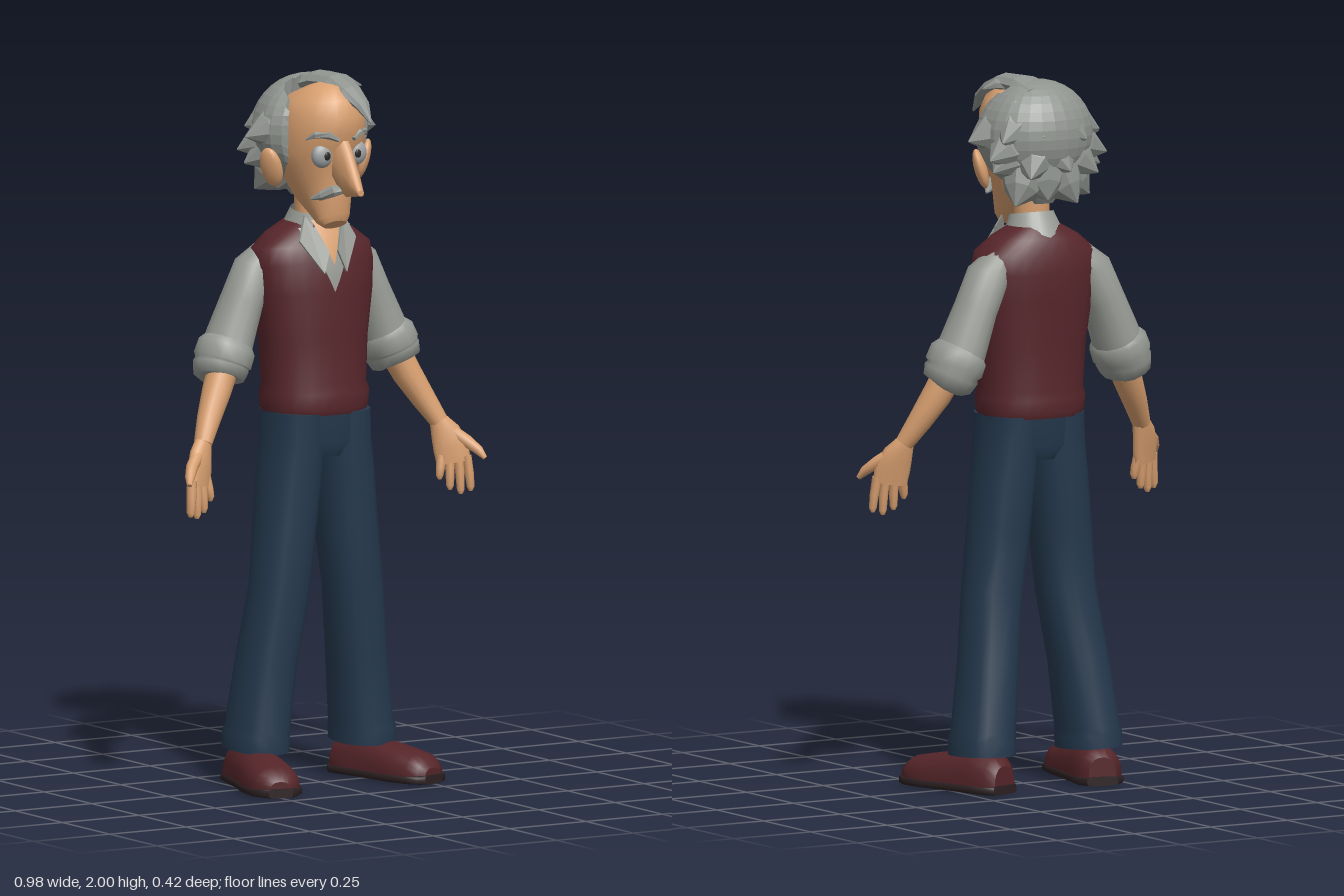
import * as THREE from 'three';

const mat = (name, color, extra = {}) => Object.assign(new THREE.MeshStandardMaterial({ color, ...extra }), { name });
const V = (a) => new THREE.Vector3(...a);

// Skin through elliptical sections [x, y, z, widthRadius, depthRadius] along a path.
function loft(sections, { n = 14, ref = [0, 0, 1], power = 2 } = {}) {
  const pos = [], idx = [], last = sections.length - 1;
  const at = (i) => V(sections[Math.min(last, Math.max(0, i))].slice(0, 3));
  const ring = (i) => {
    const [x, y, z, ru, rw] = sections[i];
    const t = at(i + 1).sub(at(i - 1)).normalize();
    const u = new THREE.Vector3().crossVectors(t, V(ref)).normalize();
    const w = new THREE.Vector3().crossVectors(u, t);
    const start = pos.length / 3;
    for (let j = 0; j < n; j++) {
      const a = (j / n) * Math.PI * 2;
      const sq = (c) => Math.sign(c) * Math.abs(c) ** (2 / power);
      pos.push(...new THREE.Vector3(x, y, z).addScaledVector(u, ru * sq(Math.cos(a))).addScaledVector(w, rw * sq(Math.sin(a))));
    }
    return start;
  };
  const rings = sections.map((_, i) => ring(i));
  for (let i = 0; i < last; i++) for (let j = 0; j < n; j++) {
    const k = (j + 1) % n, a = rings[i], b = rings[i + 1];
    idx.push(a + j, b + j, a + k, a + k, b + j, b + k);
  }
  for (const end of [0, last]) {
    const r = ring(end);
    for (let j = 1; j < n - 1; j++) idx.push(r, ...(end ? [r + j + 1, r + j] : [r + j, r + j + 1]));
  }
  const g = new THREE.BufferGeometry();
  g.setAttribute('position', new THREE.Float32BufferAttribute(pos, 3));
  g.setIndex(idx);
  g.computeVertexNormals();
  return g;
}

// Move every vertex by a rule.
function bend(g, rule) {
  const p = g.attributes.position, v = new THREE.Vector3();
  for (let i = 0; i < p.count; i++) {
    rule(v.fromBufferAttribute(p, i));
    p.setXYZ(i, v.x, v.y, v.z);
  }
  g.computeVertexNormals();
  return g;
}

// Pointed lock of hair from base to tip, sagging so the tip flicks up.
const lock = (base, tip, r, sag = 0) => {
  const mid = V(base).lerp(V(tip), 0.5);
  mid.y -= sag;
  return loft([[...base, r, r], [...mid, r * 0.66, r * 0.66], [...tip, 0.002, 0.002]], { n: 8, ref: [0, 1, 0] });
};

// Depth of the chest front, used by the neckline pieces.
const chestZ = (x, y) => 0.074 - 1.5 * (y - 1.4) ** 2 - 2.5 * x * x;

export function createModel() {
  const skin = mat('skin', 0xd9a070), hair = mat('greyHair', 0x90948f, { flatShading: true });
  const shirt = mat('shirtGrey', 0x999c96, { side: THREE.DoubleSide });
  const vest = mat('vestMaroon', 0x57262b), trousers = mat('trouserBlue', 0x25394e);
  const leather = mat('shoeLeather', 0x552529), sole = mat('shoeSole', 0x2c2022);
  const white = mat('eyeWhite', 0xa0a4a5), dark = mat('pupil', 0x2a2624);

  const root = new THREE.Group();
  root.name = 'oldMan';
  const add = (parent, name, geo, m) => {
    const mesh = new THREE.Mesh(geo, m);
    mesh.name = name;
    parent.add(mesh);
    return mesh;
  };
  const ball = (parent, name, m, p, s, seg = 16) => {
    const mesh = add(parent, name, new THREE.SphereGeometry(1, seg, 12), m);
    mesh.position.set(...p);
    mesh.scale.set(...s);
    return mesh;
  };

  // Torso
  add(root, 'vest', loft([
    [0, 1.045, -0.036, 0.148, 0.12], [0, 1.06, -0.036, 0.153, 0.126], [0, 1.1, -0.036, 0.157, 0.127],
    [0, 1.125, -0.038, 0.15, 0.119], [0, 1.25, -0.042, 0.158, 0.117], [0, 1.38, -0.046, 0.177, 0.12],
    [0, 1.46, -0.053, 0.186, 0.116], [0, 1.51, -0.058, 0.18, 0.105], [0, 1.55, -0.06, 0.13, 0.088],
    [0, 1.58, -0.06, 0.075, 0.062],
  ], { n: 28, power: 2.3 }), vest);
  add(root, 'hips', loft([
    [0, 0.925, -0.03, 0.08, 0.09], [0, 0.965, -0.03, 0.15, 0.108], [0, 1.07, -0.032, 0.15, 0.116],
  ], { n: 24, power: 2.3 }), trousers);

  // Shirt front, throat and collar
  const vPatch = (y0, h, half, lift) => bend(new THREE.PlaneGeometry(2, 1, 6, 6), (v) => {
    const t = v.y + 0.5;
    v.set(v.x * half * t, y0 + h * t, 0);
    v.z = chestZ(v.x, v.y) + lift;
  });
  add(root, 'shirtFront', vPatch(1.39, 0.18, 0.085, 0.004), shirt);
  add(root, 'throat', vPatch(1.465, 0.125, 0.045, 0.007), skin);
  add(root, 'neck', loft([[0, 1.48, -0.03, 0.055, 0.05], [0, 1.58, -0.045, 0.05, 0.047], [0, 1.7, -0.045, 0.052, 0.05]]), skin);
  const collar = add(root, 'collarBand', new THREE.CylinderGeometry(0.062, 0.094, 0.085, 20, 2, true, 0.5, Math.PI * 2 - 1), shirt);
  collar.position.set(0, 1.57, -0.05);
  collar.rotation.x = 0.16;
  const wing = new THREE.Shape([[0.062, 1.602], [0.014, 1.505], [0.036, 1.445], [0.092, 1.535]].map((p) => new THREE.Vector2(...p)));

  // Paired parts, built on the model's left and mirrored
  for (const s of [1, -1]) {
    const side = new THREE.Group();
    side.name = s > 0 ? 'leftSide' : 'rightSide';
    side.scale.x = s;
    root.add(side);

    add(side, 'collarWing', bend(new THREE.ExtrudeGeometry(wing, { depth: 0.009, bevelEnabled: false }),
      (v) => { v.z += chestZ(v.x, v.y) + 0.005; }), shirt);

    // Leg
    add(side, 'trouserLeg', loft([
      [0.174, 0.1, -0.064, 0.083, 0.107], [0.173, 0.14, -0.062, 0.084, 0.108], [0.169, 0.16, -0.062, 0.08, 0.104],
      [0.147, 0.35, -0.051, 0.078, 0.094], [0.12, 0.55, -0.027, 0.08, 0.088], [0.101, 0.72, -0.03, 0.081, 0.096],
      [0.086, 0.87, -0.03, 0.081, 0.104], [0.076, 0.97, -0.03, 0.078, 0.109], [0.074, 1.05, -0.03, 0.076, 0.113],
    ], { n: 18, power: 2.3 }), trousers);

    // Shoe, toes turned outward
    const shoe = new THREE.Group();
    shoe.name = 'shoe';
    shoe.position.set(0.188, 0, -0.05);
    shoe.rotation.y = 0.25;
    side.add(shoe);
    const plan = [[-0.115, 0.04, 0.08], [-0.09, 0.064, 0.105], [-0.02, 0.066, 0.118], [0.06, 0.069, 0.108],
      [0.14, 0.077, 0.094], [0.205, 0.071, 0.082], [0.235, 0.053, 0.064], [0.248, 0.03, 0.045]];
    add(shoe, 'shoeUpper', bend(loft(plan.map(([z, r, h]) => [0, 0.02, z, r, h - 0.02]), { n: 18, ref: [0, 1, 0], power: 2.4 }),
      (v) => { v.y = Math.max(v.y, 0.02); }), leather);
    add(shoe, 'shoeSole', loft(plan.map(([z, r]) => [0, 0.013, z * 1.02, r + 0.005, 0.013]), { n: 20, ref: [0, 1, 0], power: 5 }), sole);

    // Sleeve with rolled cuff
    add(side, 'sleeve', loft([
      [0.13, 1.5, -0.08, 0.035, 0.045], [0.165, 1.45, -0.082, 0.06, 0.066], [0.207, 1.36, -0.084, 0.059, 0.071],
      [0.243, 1.27, -0.083, 0.066, 0.078], [0.266, 1.21, -0.08, 0.07, 0.084],
    ]), shirt);
    add(side, 'rolledCuff', loft([
      [0.251, 1.25, -0.08, 0.066, 0.08], [0.259, 1.235, -0.079, 0.08, 0.091], [0.274, 1.2, -0.077, 0.082, 0.091],
      [0.277, 1.192, -0.077, 0.073, 0.084], [0.281, 1.183, -0.075, 0.078, 0.087], [0.291, 1.155, -0.07, 0.07, 0.078],
      [0.293, 1.15, -0.068, 0.052, 0.058],
    ]), shirt);

    // Forearm and hand, palm facing forward and inward
    add(side, 'forearm', loft([
      [0.272, 1.2, -0.065, 0.044, 0.046], [0.312, 1.12, -0.047, 0.041, 0.043], [0.351, 1.05, -0.024, 0.034, 0.035],
      [0.387, 0.985, 0.002, 0.026, 0.026],
    ]), skin);
    const palmRef = [-0.42, 0.1, 0.9];
    add(side, 'palm', loft([
      [0.384, 0.99, 0, 0.026, 0.023], [0.4, 0.955, 0.012, 0.042, 0.024], [0.412, 0.915, 0.024, 0.051, 0.022],
      [0.417, 0.87, 0.03, 0.048, 0.017],
    ], { n: 12, ref: palmRef }), skin);
    [[-0.036, 0.825], [-0.012, 0.795], [0.013, 0.782], [0.036, 0.79]].forEach(([d, tip], i) => {
      const x = 0.417 + d * 0.9, z = 0.03 + d * 0.42, splay = d * 0.25;
      add(side, 'finger' + (i + 1), loft([
        [x, 0.89, z, 0.014, 0.015], [x + splay * 0.6, (0.89 + tip) / 2, z + 0.006, 0.013, 0.014],
        [x + splay, tip + 0.012, z + 0.008, 0.011, 0.012], [x + splay, tip, z + 0.008, 0.005, 0.006],
      ], { n: 8, ref: palmRef }), skin);
    });
    add(side, 'thumb', loft([
      [0.405, 0.965, 0.015, 0.02, 0.018], [0.45, 0.93, 0.047, 0.018, 0.017], [0.473, 0.905, 0.073, 0.014, 0.014],
      [0.484, 0.885, 0.088, 0.007, 0.007],
    ], { n: 8 }), skin);

    // Face details
    ball(side, 'eye', white, [0.055, 1.782, 0.097], [0.033, 0.035, 0.021]);
    ball(side, 'pupil', dark, [0.05, 1.782, 0.117], [0.01, 0.012, 0.004]);
    add(side, 'eyebrow', loft([
      [0.024, 1.828, 0.136, 0.006, 0.008], [0.05, 1.842, 0.126, 0.011, 0.01], [0.08, 1.842, 0.101, 0.01, 0.01],
      [0.098, 1.828, 0.08, 0.003, 0.004],
    ], { n: 6 }), hair);
    add(side, 'moustache', loft([
      [0, 1.684, 0.117, 0.011, 0.016], [0.03, 1.682, 0.114, 0.017, 0.018], [0.055, 1.668, 0.092, 0.014, 0.014],
      [0.076, 1.658, 0.07, 0.003, 0.004],
    ], { n: 8 }), hair);
    const ear = ball(side, 'ear', skin, [0.15, 1.742, -0.018], [0.018, 0.058, 0.034], 12);
    ear.rotation.set(-0.1, -0.5, -0.32);

    // Sweeping locks at the temple
    add(side, 'templeWing', lock([0.09, 1.86, -0.05], [0.212, 1.827, -0.055], 0.075, 0.005), hair);
    add(side, 'templeRearLock', lock([0.08, 1.83, -0.1], [0.19, 1.78, -0.135], 0.075, 0.01), hair);
  }

  // Head
  add(root, 'head', loft([
    [0, 1.58, 0.075, 0.036, 0.024], [0, 1.595, 0.065, 0.05, 0.042], [0, 1.635, 0.045, 0.062, 0.07],
    [0, 1.68, 0.015, 0.08, 0.1], [0, 1.74, -0.005, 0.112, 0.122], [0, 1.79, -0.008, 0.122, 0.127],
    [0, 1.84, -0.006, 0.122, 0.146], [0, 1.89, -0.006, 0.118, 0.147], [0, 1.925, -0.006, 0.1, 0.13],
    [0, 1.95, -0.01, 0.07, 0.093], [0, 1.965, -0.015, 0.03, 0.04],
  ], { n: 24 }), skin);
  // Wedge nose, sheared downward toward its tip
  add(root, 'nose', bend(loft([
    [0, 0, 0.09, 0.034, 0.085], [0, 0, 0.145, 0.023, 0.076], [0, 0, 0.185, 0.018, 0.036], [0, 0, 0.214, 0.01, 0.009],
  ], { n: 10, ref: [0, 1, 0] }), (v) => { v.y += 1.775 - 0.78 * (v.z - 0.1); }), skin);

  // Hair shell: full at the sides, cut off at the temples, sunk beneath the bald forehead
  add(root, 'hairShell', bend(new THREE.SphereGeometry(1, 26, 18), (v) => {
    const full = 1 + 0.2 * Math.max(v.z, 0);
    v.set(v.x * 0.166 * full, 1.835 + v.y * 0.155, Math.min(-0.072 + v.z * 0.137, 0.022));
    if (v.z > -0.045 && Math.abs(v.x) < 0.1 && v.y > 1.8) v.set(v.x * 0.8, 1.8 + (v.y - 1.8) * 0.7, v.z - 0.02);
  }), hair);

  // Broad locks around the back: [base height, tip height, tip reach, angles]
  [
    [1.88, 1.845, 1.2, [-1.1, -0.45, 0.3, 0.95]],
    [1.8, 1.745, 1.22, [-1.3, -0.75, -0.15, 0.5, 1.15]],
    [1.74, 1.665, 1.02, [-1, -0.4, 0.2, 0.8]],
  ].forEach(([y, tipY, reach, angles]) => angles.forEach((a, i) => {
    const pt = (f, h) => [Math.sin(a) * 0.165 * f, h, -0.07 - Math.cos(a) * 0.12 * f];
    add(root, 'backLock', lock(pt(0.5, y), pt(reach * (i % 2 ? 1 : 0.95), tipY - (i % 2) * 0.015), 0.075, 0.008), hair);
  }));
  // Nape
  add(root, 'napeLock', loft([[0, 1.76, -0.1, 0.09, 0.07], [0, 1.69, -0.11, 0.07, 0.045], [0, 1.645, -0.11, 0.03, 0.01]], { n: 10 }), hair);

  // Forelock curling over the brow
  add(root, 'forelock', loft([
    [0.01, 1.95, -0.11, 0.07, 0.03], [0.025, 1.974, -0.04, 0.052, 0.026], [0.036, 1.976, 0.03, 0.046, 0.022],
    [0.042, 1.952, 0.09, 0.04, 0.02], [0.05, 1.92, 0.14, 0.026, 0.015], [0.058, 1.875, 0.172, 0.003, 0.003],
  ], { n: 8, ref: [0, 1, 0] }), hair);
  add(root, 'forelockTip', loft([
    [0.03, 1.97, 0, 0.02, 0.035], [0.08, 1.97, 0.02, 0.014, 0.026], [0.115, 1.957, 0.03, 0.002, 0.002],
  ], { n: 6 }), hair);
  return root;
}
